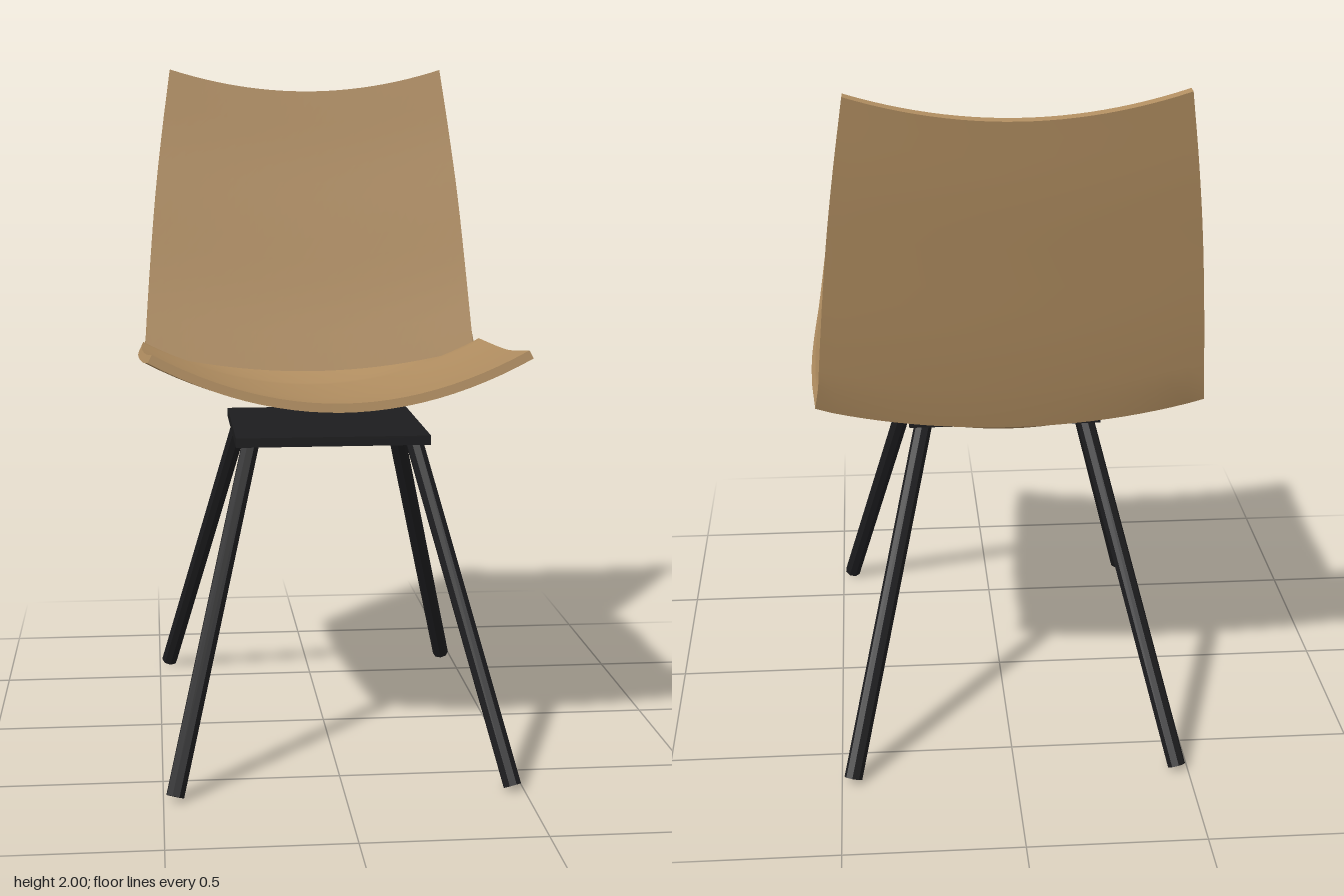
import * as THREE from 'three';
import { toCreasedNormals } from 'three/addons/utils/BufferGeometryUtils.js';

const THICK = 0.025;
const COLS = 24;

// Smooth run of sections, each packed as (half width, centre height, depth)
function sections(points, steps, sag) {
  const curve = new THREE.CatmullRomCurve3(points.map((p) => new THREE.Vector3(...p)));
  return curve.getPoints(steps).map((p) => ({ w: p.x, y: p.y, z: p.z, sag }));
}

// Bent sheet: parabolic sections, thickened along the surface normals
function shellGeometry() {
  const rows = [
    ...sections([[0.515, 1.08, 0.56], [0.53, 1.035, 0.2], [0.54, 1.018, 0], [0.545, 1.006, -0.2], [0.541, 1.0, -0.38]], 16, 0.14),
    ...sections([[0.535, 1.03, -0.447], [0.518, 1.26, -0.503], [0.495, 1.52, -0.556], [0.47, 1.73, -0.597], [0.442, 1.93, -0.63]], 16, 0.07),
  ];
  const n = COLS + 1;
  const at = (i, j) => i * n + j;
  const top = [];
  for (const r of rows) {
    for (let j = 0; j < n; j++) {
      const u = (j / COLS) * 2 - 1;
      top.push(u * r.w, r.y + r.sag * u * u, r.z);
    }
  }
  const upper = [];
  for (let i = 0; i < rows.length - 1; i++) {
    for (let j = 0; j < COLS; j++) {
      const a = at(i, j), b = at(i, j + 1), c = at(i + 1, j + 1), d = at(i + 1, j);
      upper.push(a, b, c, a, c, d);
    }
  }
  const sheet = new THREE.BufferGeometry();
  sheet.setAttribute('position', new THREE.Float32BufferAttribute(top, 3));
  sheet.setIndex(upper);
  sheet.computeVertexNormals();
  const normals = sheet.attributes.normal.array;

  const total = top.length / 3;
  const under = top.map((v, k) => v - normals[k] * THICK);
  const index = [...upper];
  for (let k = 0; k < upper.length; k += 3) {
    index.push(upper[k] + total, upper[k + 2] + total, upper[k + 1] + total);
  }
  // Rim strip around the perimeter
  const last = rows.length - 1;
  const rim = [];
  for (let j = 0; j < COLS; j++) rim.push(at(0, j));
  for (let i = 0; i < last; i++) rim.push(at(i, COLS));
  for (let j = COLS; j > 0; j--) rim.push(at(last, j));
  for (let i = last; i > 0; i--) rim.push(at(i, 0));
  rim.forEach((a, k) => {
    const b = rim[(k + 1) % rim.length];
    index.push(a + total, b + total, b, a + total, b, a);
  });

  const geo = new THREE.BufferGeometry();
  geo.setAttribute('position', new THREE.Float32BufferAttribute([...top, ...under], 3));
  geo.setIndex(index);
  return toCreasedNormals(geo, 0.6);
}

// Straight faceted rod between two points
function rod(from, to, radius, material) {
  const dir = to.clone().sub(from);
  const mesh = new THREE.Mesh(new THREE.CylinderGeometry(radius, radius, dir.length(), 8), material);
  mesh.geometry = toCreasedNormals(mesh.geometry, 0.5);
  mesh.position.copy(from).add(to).multiplyScalar(0.5);
  mesh.quaternion.setFromUnitVectors(new THREE.Vector3(0, 1, 0), dir.normalize());
  return mesh;
}

export function createModel() {
  const wood = new THREE.MeshStandardMaterial({ color: 0xb08d60 });
  wood.name = 'wood';
  const black = new THREE.MeshStandardMaterial({ color: 0x1c1c1e });
  black.name = 'blackMetal';

  const chair = new THREE.Group();
  chair.name = 'chair';

  // Seat and backrest in one piece
  const shell = new THREE.Mesh(shellGeometry(), wood);
  shell.name = 'seatShell';
  chair.add(shell);

  // Mounting plate
  const plate = new THREE.Mesh(new THREE.BoxGeometry(0.56, 0.027, 0.56), black);
  plate.name = 'mountingPlate';
  plate.position.set(0, 0.934, 0.05);
  chair.add(plate);

  // Four splayed legs
  for (const side of [1, -1]) {
    for (const [name, zTop, zFoot] of [['front', 0.29, 0.655], ['back', -0.195, -0.65]]) {
      const leg = rod(
        new THREE.Vector3(side * 0.235, 0.932, zTop),
        new THREE.Vector3(side * 0.468, 0.012, zFoot),
        0.026, black);
      leg.name = name + (side > 0 ? 'LeftLeg' : 'RightLeg');
      chair.add(leg);
    }
  }
  return chair;
}
